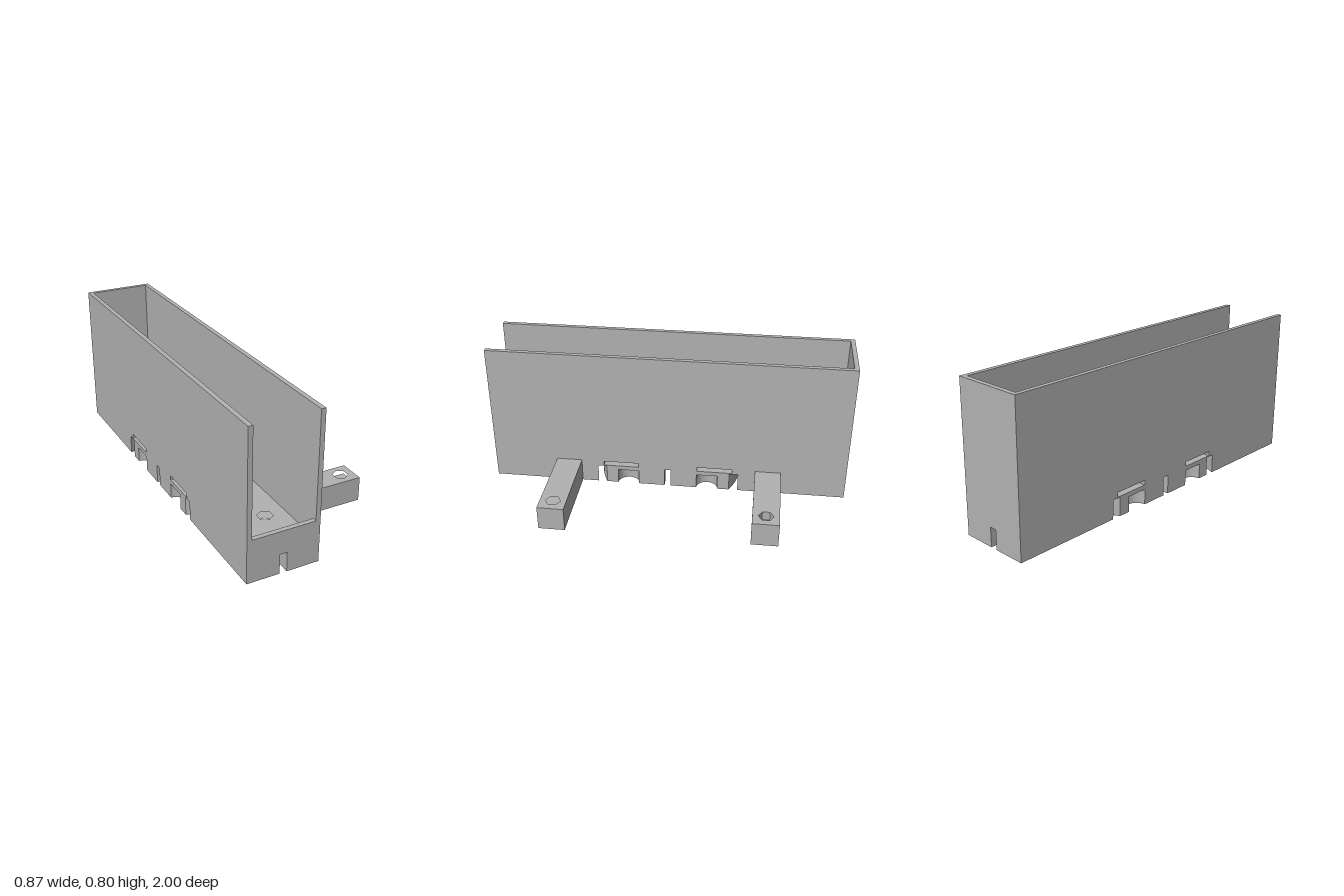
import * as THREE from 'three';

export function createModel() {
  const group = new THREE.Group();
  const grey = new THREE.MeshStandardMaterial({ color: 0xb2b2b2 });
  grey.name = 'grey';

  const CX = -0.2425, HW = 0.1925;        // tray centre line and half width
  const SLOT = 0.019, CROSS = 0.0175;     // half widths of the underside channels
  const HUB = 0.145, RING_IN = 0.4, RING_OUT = 0.444;
  const WALL = 0.025, FLOOR = 0.135;
  const screwZ = [0.485, 0.725], screwX = 0.0575;

  // Points along an arc, angles in radians
  const arc = (cx, cz, r, a0, a1, n = 20) => Array.from({ length: n + 1 }, (_, i) => {
    const a = a0 + (a1 - a0) * i / n;
    return [cx + r * Math.cos(a), cz + r * Math.sin(a)];
  });
  const round = (x, z) => arc(x, z, 0.022, 0, Math.PI * 2, 24).slice(0, -1);
  const hex = (x, z) => arc(x, z, 0.041, Math.PI / 2, Math.PI * 2.5, 6).slice(0, -1);
  const rect = (x0, x1, z0, z1) => [[x0, z0], [x1, z0], [x1, z1], [x0, z1]];

  // Horizontal slab from an (x, z) outline, optionally mirrored, between two heights
  function slab(name, outline, y0, y1, holes = [], cx = CX, sx = 1, sz = 1) {
    const vec = pts => pts.map(([x, z]) => new THREE.Vector2(cx + sx * x, -sz * z));
    const shape = new THREE.Shape(vec(outline));
    holes.forEach(h => shape.holes.push(new THREE.Path(vec(h))));
    const geo = new THREE.ExtrudeGeometry(shape, { depth: y1 - y0, bevelEnabled: false });
    geo.rotateX(-Math.PI / 2);
    geo.translate(0, y0, 0);
    const mesh = new THREE.Mesh(geo, grey);
    mesh.name = name;
    group.add(mesh);
  }

  // Underside quarter blocks, separated by straight, cross and ring channels
  const ringIn = arc(0, 0, RING_IN, Math.acos(HW / RING_IN), Math.acos(SLOT / RING_IN));
  const hubArc = arc(0, 0, HUB, Math.acos(SLOT / HUB), Math.asin(CROSS / HUB));
  const recess = arc(HW, 0.225, 0.06, Math.PI * 1.5, Math.PI * 0.5);
  const innerLow = [[HW, CROSS], ...recess, ...ringIn, ...hubArc];
  const innerHigh = [[SLOT, CROSS], [HW, CROSS], ...ringIn];
  const outer = [[HW, 1], [SLOT, 1],
    ...arc(0, 0, RING_OUT, Math.acos(SLOT / RING_OUT), Math.acos(HW / RING_OUT))];
  for (const sx of [-1, 1]) for (const sz of [-1, 1]) {
    const holes = sx > 0 ? screwZ.map(z => round(screwX, z)) : [];
    slab('innerBaseBlock', innerLow, 0, 0.085, [], CX, sx, sz);
    slab('innerBaseTop', innerHigh, 0.085, 0.105, [], CX, sx, sz);
    slab('outerBaseBlock', outer, 0, 0.105, holes, CX, sx, sz);
  }

  // Thin plate closing the channels, then floor pads with strap slots between them
  slab('basePlate', rect(-HW, HW, -1, 1), 0.105, 0.11,
    [-1, 1].flatMap(s => screwZ.map(z => round(screwX, s * z))));
  slab('middleFloor', rect(-HW, HW, -0.167, 0.167), 0.11, FLOOR);
  for (const sz of [-1, 1]) {
    slab('endFloor', rect(-HW, HW, 0.367, 1), 0.11, FLOOR,
      screwZ.map(z => hex(screwX, z)), CX, 1, sz);
  }

  // Tray walls: two long sides, full back and a low front lip
  for (const sx of [-1, 1]) {
    slab('sideWall', rect(HW - WALL, HW, -1, 1), FLOOR, 0.8, [], CX, sx);
  }
  slab('backWall', rect(WALL - HW, HW - WALL, -1, WALL - 1), FLOOR, 0.8);
  slab('frontLip', rect(WALL - HW, HW - WALL, 1 - WALL, 1), FLOOR, 0.23);

  // Mounting arms with a round screw hole and a hexagonal nut pocket
  for (const sz of [-1, 1]) {
    const outline = rect(CX + HW, 0.433, 0.495, 0.639);
    slab('armLower', outline, 0, 0.085, [round(0.36, 0.567)], 0, 1, sz);
    slab('armUpper', outline, 0.085, FLOOR, [hex(0.36, 0.567)], 0, 1, sz);
  }
  return group;
}
